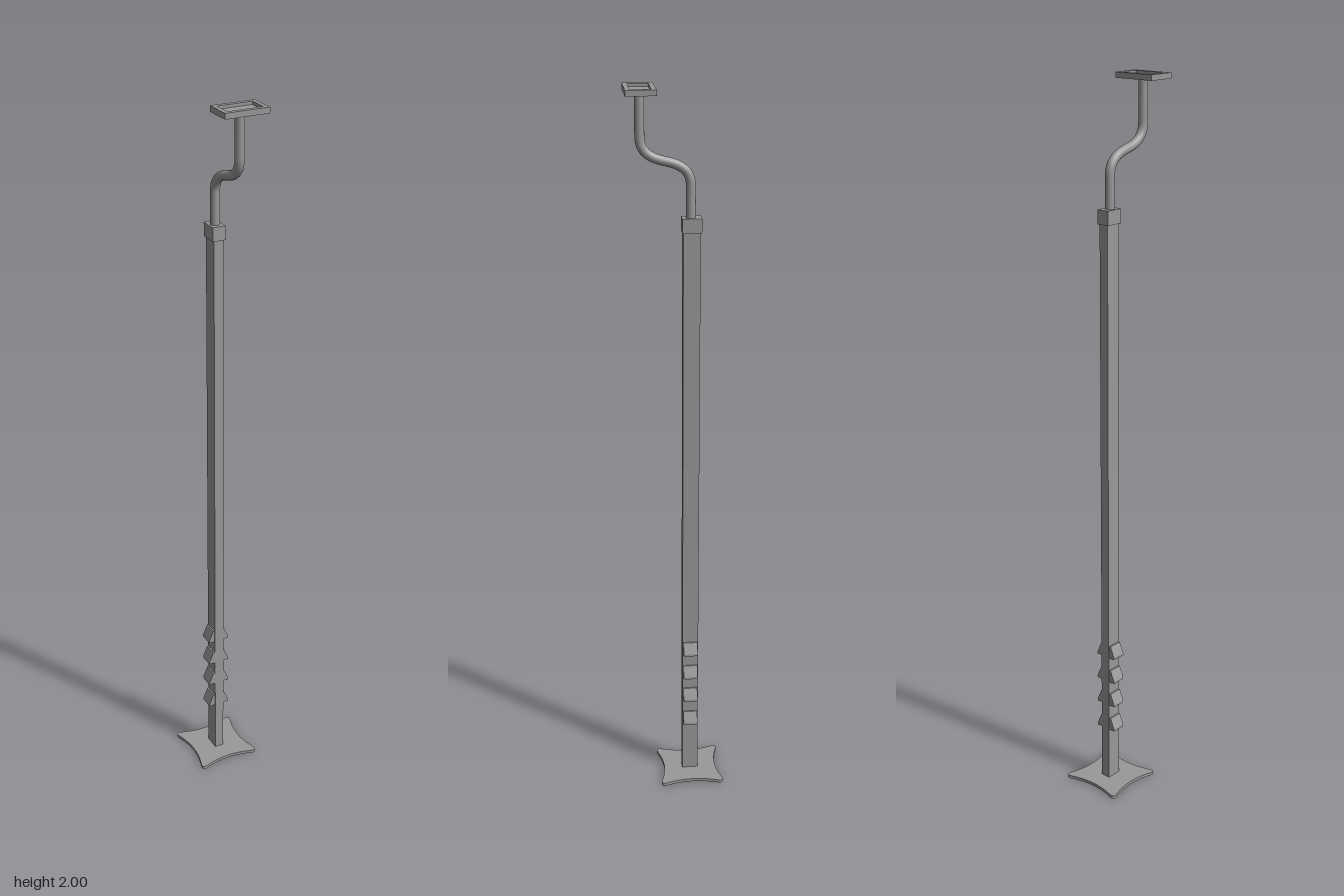
import * as THREE from 'three';

const POST_Z = -0.042;
const TRAY_Z = 0.09;

export function createModel() {
  const model = new THREE.Group();
  model.name = 'standPole';
  const grey = new THREE.MeshStandardMaterial({ color: 0x999999 });
  grey.name = 'painted grey metal';

  const add = (name, geometry, x, y, z) => {
    const mesh = new THREE.Mesh(geometry, grey);
    mesh.name = name;
    mesh.position.set(x, y, z);
    model.add(mesh);
    return mesh;
  };
  const box = (name, w, h, d, x, y, z) => add(name, new THREE.BoxGeometry(w, h, d), x, y, z);

  // Base plate: concave sides running between four rounded corners
  const plate = new THREE.Shape();
  const corner = [[0.071, 0.087], [0.0795, 0.09], [0.09, 0.09], [0.09, 0.0795], [0.087, 0.071]];
  for (let i = 0; i < 4; i++) {
    const c = Math.round(Math.cos(-i * Math.PI / 2)), s = Math.round(Math.sin(-i * Math.PI / 2));
    const p = corner.map(([x, y]) => [x * c - y * s, x * s + y * c]);
    if (i === 0) plate.moveTo(...p[0]);
    plate.lineTo(...p[1]);
    plate.quadraticCurveTo(...p[2], ...p[3]);
    plate.lineTo(...p[4]);
    // The next corner starts at the first corner point turned by a quarter
    const n = [corner[0][1], -corner[0][0]];
    const q = [n[0] * c - n[1] * s, n[0] * s + n[1] * c];
    const m = [0.063 * c, 0.063 * s];
    plate.quadraticCurveTo(...m, ...q);
  }
  const plateGeometry = new THREE.ExtrudeGeometry(plate, { depth: 0.009, bevelEnabled: false, curveSegments: 8 });
  add('basePlate', plateGeometry.rotateX(-Math.PI / 2), 0, 0, POST_Z);

  // Rectangular post and its top collar
  box('post', 0.027, 1.63, 0.045, 0, 0.82, POST_Z);
  box('collar', 0.036, 0.038, 0.051, 0, 1.65, POST_Z);

  // Barbed hooks in mirrored pairs up the lower post
  const barb = new THREE.Shape([
    [0.012, 0], [0.031, 0], [0.031, 0.006], [0.018, 0.037], [0.012, 0.037],
  ].map(([x, y]) => new THREE.Vector2(x, y)));
  const barbGeometry = new THREE.ExtrudeGeometry(barb, { depth: 0.04, bevelEnabled: false }).translate(0, 0, -0.02);
  for (const y of [0.167, 0.246, 0.321, 0.397]) {
    add('leftHook', barbGeometry, 0, y, POST_Z);
    add('rightHook', barbGeometry, 0, y, POST_Z).rotation.y = Math.PI;
  }

  // Offset S-shaped neck
  const v = (y, z) => new THREE.Vector3(0, y, z);
  const neck = new THREE.CurvePath();
  const lowZ = -0.04;
  neck.add(new THREE.LineCurve3(v(1.65, lowZ), v(1.75, lowZ)));
  neck.add(new THREE.CubicBezierCurve3(v(1.75, lowZ), v(1.79, lowZ), v(1.805, -0.015), v(1.814, 0.025)));
  neck.add(new THREE.CubicBezierCurve3(v(1.814, 0.025), v(1.823, 0.065), v(1.838, TRAY_Z), v(1.878, TRAY_Z)));
  neck.add(new THREE.LineCurve3(v(1.878, TRAY_Z), v(1.988, TRAY_Z)));
  add('neck', new THREE.TubeGeometry(neck, 64, 0.0125, 20, false), 0, 0, 0);

  // Shallow tray: floor and raised rim
  box('trayFloor', 0.118, 0.006, 0.076, 0, 1.989, TRAY_Z);
  const rim = new THREE.Shape();
  const rect = (path, w, d) => path.moveTo(-w, -d).lineTo(w, -d).lineTo(w, d).lineTo(-w, d).closePath();
  rect(rim, 0.06, 0.039);
  const opening = new THREE.Path();
  rect(opening, 0.048, 0.0265);
  rim.holes.push(opening);
  const rimGeometry = new THREE.ExtrudeGeometry(rim, { depth: 0.015, bevelEnabled: false });
  add('trayRim', rimGeometry.rotateX(-Math.PI / 2), 0, 1.985, TRAY_Z);

  return model;
}
